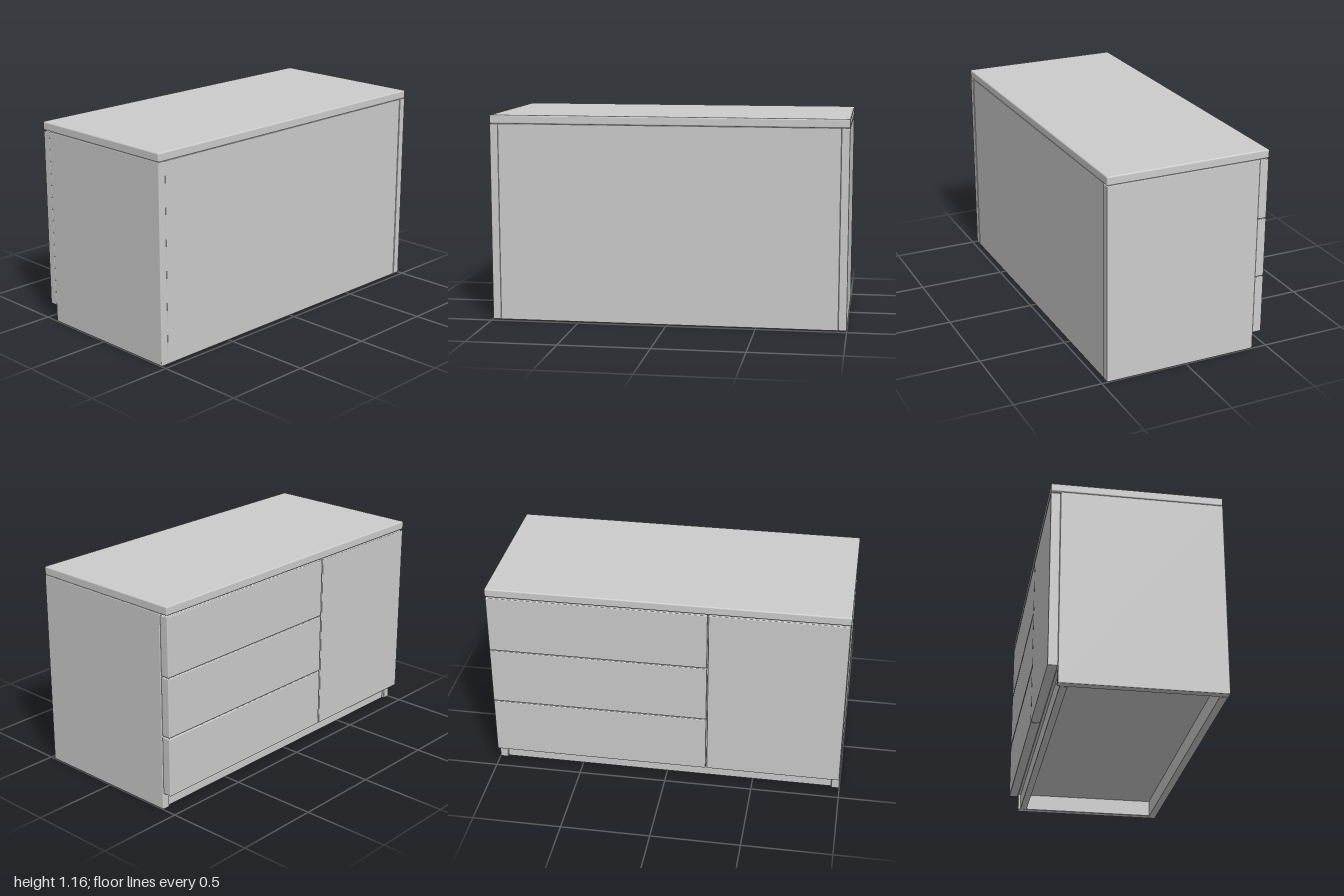
import * as THREE from 'three';
import { RoundedBoxGeometry } from 'three/addons/geometries/RoundedBoxGeometry.js';

const material = new THREE.MeshStandardMaterial({ color: 0xcccccc });

// Panel given by its limits on each axis, with slightly eased edges
function panel(name, [x0, x1], [y0, y1], [z0, z1], radius = 0.005) {
  const geometry = new RoundedBoxGeometry(x1 - x0, y1 - y0, z1 - z0, 2, radius);
  const mesh = new THREE.Mesh(geometry, material);
  mesh.position.set((x0 + x1) / 2, (y0 + y1) / 2, (z0 + z1) / 2);
  mesh.name = name;
  return mesh;
}

export function createModel() {
  const group = new THREE.Group();
  group.name = 'sideboard';
  const bodyTop = 1.115, thick = 0.047, inner = 1 - thick;
  const caseZ = -0.415, faceZ = -0.468, wallZ = 0.47;
  const split = -0.235, gap = 0.005, faceBottom = 0.095, faceTop = 1.108;

  // Carcass
  group.add(panel('top', [-1, 1], [bodyTop, 1.164], [faceZ, wallZ], 0.008));
  group.add(panel('leftSide', [inner, 1], [0, bodyTop], [caseZ, wallZ]));
  group.add(panel('rightSide', [-1, -inner], [0, bodyTop], [caseZ, wallZ]));
  group.add(panel('rearPanel', [-inner, inner], [0, bodyTop], [wallZ - thick, wallZ - 0.003], 0.002));
  group.add(panel('bottomShelf', [-inner, inner], [0.095, 0.14], [caseZ, wallZ - thick], 0.002));
  group.add(panel('plinth', [-inner, inner], [0, 0.095], [caseZ + 0.015, caseZ + 0.055], 0.002));
  group.add(panel('divider', [split - 0.023, split + 0.023], [0.14, bodyTop], [caseZ, wallZ - thick], 0.002));

  // Three equal drawer fronts beside one tall door
  const pitch = (faceTop - faceBottom + gap) / 3;
  for (let i = 0; i < 3; i++) {
    const y = faceBottom + i * pitch;
    group.add(panel(`drawerFront${i + 1}`, [split + gap / 2, 0.997], [y, y + pitch - gap], [faceZ, caseZ]));
  }
  group.add(panel('door', [-0.997, split - gap / 2], [faceBottom, faceTop], [faceZ, caseZ]));
  return group;
}
